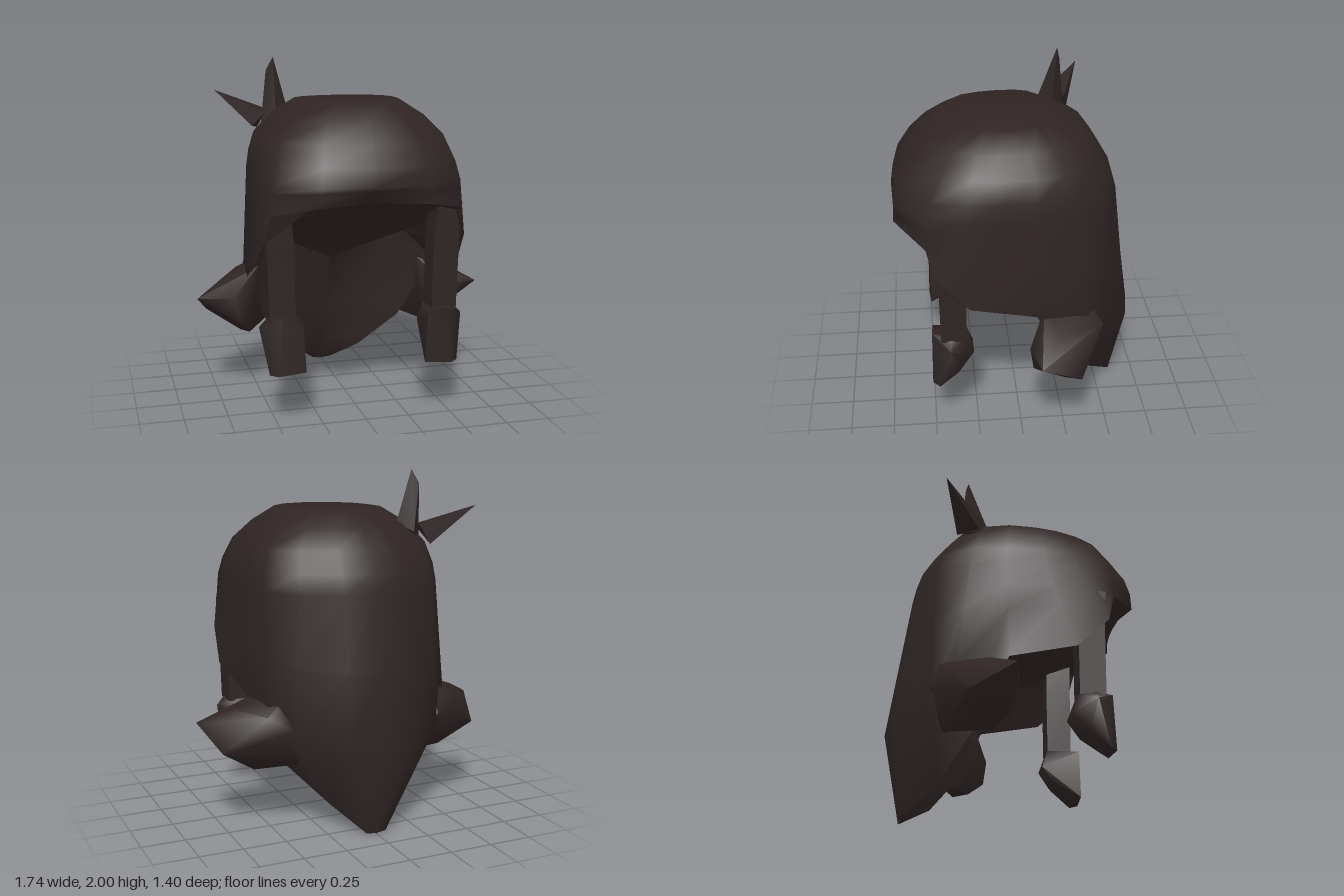
import * as THREE from 'three';
import { toCreasedNormals } from 'three/addons/utils/BufferGeometryUtils.js';
import { ConvexGeometry } from 'three/addons/geometries/ConvexGeometry.js';

const hair = new THREE.MeshStandardMaterial({ color: 0x2f2424, side: THREE.DoubleSide });
hair.name = 'darkBrownHair';

// Skin a list of rows of points; closed joins the last column to the first
function loft(rows, closed) {
  const n = rows[0].length, index = [];
  for (let i = 0; i < rows.length - 1; i++) {
    for (let j = 0; j < (closed ? n : n - 1); j++) {
      const k = (j + 1) % n, a = i * n + j, b = i * n + k;
      index.push(a, a + n, b, b, a + n, b + n);
    }
  }
  const g = new THREE.BufferGeometry();
  g.setAttribute('position', new THREE.Float32BufferAttribute(rows.flat(2), 3));
  g.setIndex(index);
  g.computeVertexNormals();
  return g;
}

// Faceted solid around a few corner points, with soft shading
const hull = (points, crease) =>
  toCreasedNormals(new ConvexGeometry(points.map((p) => new THREE.Vector3(...p))), crease);

function add(group, name, geometry) {
  const mesh = new THREE.Mesh(geometry, hair);
  mesh.name = name;
  group.add(mesh);
  return mesh;
}

// Half rows run from the front centre round to the back centre
const mirrorRow = (half) => [...half, ...half.slice(1, -1).reverse().map(([x, y, z]) => [-x, y, z])];

// Hem of the hair: fringe, side, then the pointed back panel
const HEM = [[0, 1.265, 0.6], [0.3, 1.26, 0.69], [0.54, 1.2, 0.52], [0.57, 1.04, 0.48], [0.605, 0.85, 0.29],
  [0.585, 0.77, -0.08], [0.42, 0.37, -0.27], [0.2, 0.14, -0.42], [0.06, 0.01, -0.6], [0, 0, -0.6]];

function shellGeometry() {
  // Plan outline of the head, scaled for each ring and rounder towards the crown
  const plan = [[0, 1], [0.53, 0.98], [0.93, 0.74], [1, 0.45], [1, 0.2], [0.99, -0.15],
    [0.94, -0.5], [0.72, -0.82], [0.32, -0.98], [0, -1]];
  // y, half width, front z, back z, rounding of the corners
  const rings = [[1.775, 0.3, 0.42, -0.22, 0.7], [1.69, 0.43, 0.53, -0.4, 0.6], [1.58, 0.53, 0.62, -0.475, 0.4],
    [1.46, 0.56, 0.685, -0.545, 0.2], [1.36, 0.565, 0.7, -0.575, 0]];
  const rows = rings.map(([y, w, f, b, round]) => plan.map(([x, z]) => {
    const s = 1 + round * (1 / Math.hypot(x, z) - 1);
    return [x * s * w, y, z * s * (z > 0 ? f : -b)];
  }));
  const last = rows[rows.length - 1];
  // Swell of the back panel between the head and the hem
  const swell = [[0.55, 0.74, -0.36], [0.45, 0.55, -0.48], [0.2, 0.51, -0.66], [0, 0.5, -0.7]];
  const mid = HEM.map((h, k) => k > 5 ? swell[k - 6] : h.map((v, i) => (v + last[k][i]) / 2));
  const upper = mid.map((m, k) => m.map((v, i) => (v + last[k][i]) / 2));
  const apex = plan.map(() => [0, 1.78, 0.08]);
  return loft([apex, ...rows, upper, mid, HEM].map(mirrorRow), true);
}

// Underside: a hollow roof sloping back from the fringe to a V, then the inner face of the back panel.
// Each row spans from hem to hem through an inner point and a centre point.
function liningGeometry() {
  const rows = [
    [[0.15, 1.265, 0.65], [0, 1.265, 0.6]],
    [[0.3, 1.24, 0.5], [0, 1.24, 0.46]],
    [[0.46, 1.1, 0.26], [0, 1.08, 0.2]],
    [[0.47, 1.02, 0.05], [0, 0.92, -0.08]],
    [[0.42, 0.95, -0.24], [0, 0.75, -0.36]],
    [[0.24, 0.42, -0.38], [0, 0.42, -0.46]],
    [[0.1, 0.15, -0.48], [0, 0.15, -0.52]],
    [[0.03, 0.01, -0.595], [0, 0.01, -0.59]],
  ].map(([inner, centre], i) => {
    const half = [HEM[i + 1], inner];
    return [...half.map(([x, y, z]) => [-x, y, z]), centre, ...half.reverse()];
  });
  return toCreasedNormals(loft(rows, false), 0.75);
}

// Tapered strip of hair with four sides; each section gives inner x, outer x, y, front z, back z
function strandGeometry(sections) {
  const rows = sections.map(([x0, x1, y, zf, zb]) => [[x0, y, zf], [x1, y, zf], [x1, y, zb], [x0, y, zb]]);
  return toCreasedNormals(loft(rows, true), 1.2);
}

export function createModel() {
  const model = new THREE.Group();
  model.name = 'hair';
  add(model, 'hairShell', shellGeometry());
  add(model, 'hairUnderside', liningGeometry());

  // Side locks and outward tufts, mirrored
  const shaft = strandGeometry([[0.42, 0.56, 1.22, 0.47, 0.32], [0.4, 0.55, 1.02, 0.46, 0.31],
    [0.395, 0.54, 0.6, 0.455, 0.31]]);
  const end = hull([
    [0.36, 0.605, 0.5], [0.48, 0.625, 0.505], [0.545, 0.61, 0.4], [0.5, 0.61, 0.31], [0.39, 0.61, 0.31],
    [0.345, 0.31, 0.5], [0.5, 0.3, 0.51], [0.545, 0.3, 0.47], [0.59, 0.56, 0.4], [0.55, 0.4, 0.36],
    [0.5, 0.5, 0.27], [0.37, 0.5, 0.27], [0.37, 0.4, 0.34], [0.49, 0.4, 0.33]], 1.2);
  const tuft = hull([
    [0.45, 0.78, -0.38], [0.45, 0.62, -0.49], [0.58, 0.7, -0.45], [0.5, 0.77, -0.13], [0.7, 0.7, -0.2],
    [0.79, 0.48, -0.31], [0.87, 0.61, -0.08], [0.66, 0.61, -0.035], [0.62, 0.45, -0.06], [0.55, 0.36, -0.16],
    [0.59, 0.35, -0.25], [0.37, 0.4, -0.41]], 1.3);
  for (const side of [1, -1]) {
    const group = new THREE.Group();
    group.name = side > 0 ? 'leftLocks' : 'rightLocks';
    group.scale.x = side;
    add(group, 'lockShaft', shaft);
    add(group, 'lockEnd', end);
    add(group, 'sideTuft', tuft);
    model.add(group);
  }

  // Stray spikes on the right of the crown
  add(model, 'uprightSpike', hull([[-0.36, 2, -0.29], [-0.4, 1.92, -0.31], [-0.45, 1.62, -0.22],
    [-0.37, 1.62, -0.15], [-0.285, 1.7, -0.26], [-0.36, 1.65, -0.33]], 0.6));
  add(model, 'outwardSpike', hull([[-0.69, 1.8, -0.45], [-0.39, 1.69, -0.34], [-0.43, 1.68, -0.2],
    [-0.5, 1.6, -0.24], [-0.45, 1.58, -0.36]], 0.6));
  return model;
}
